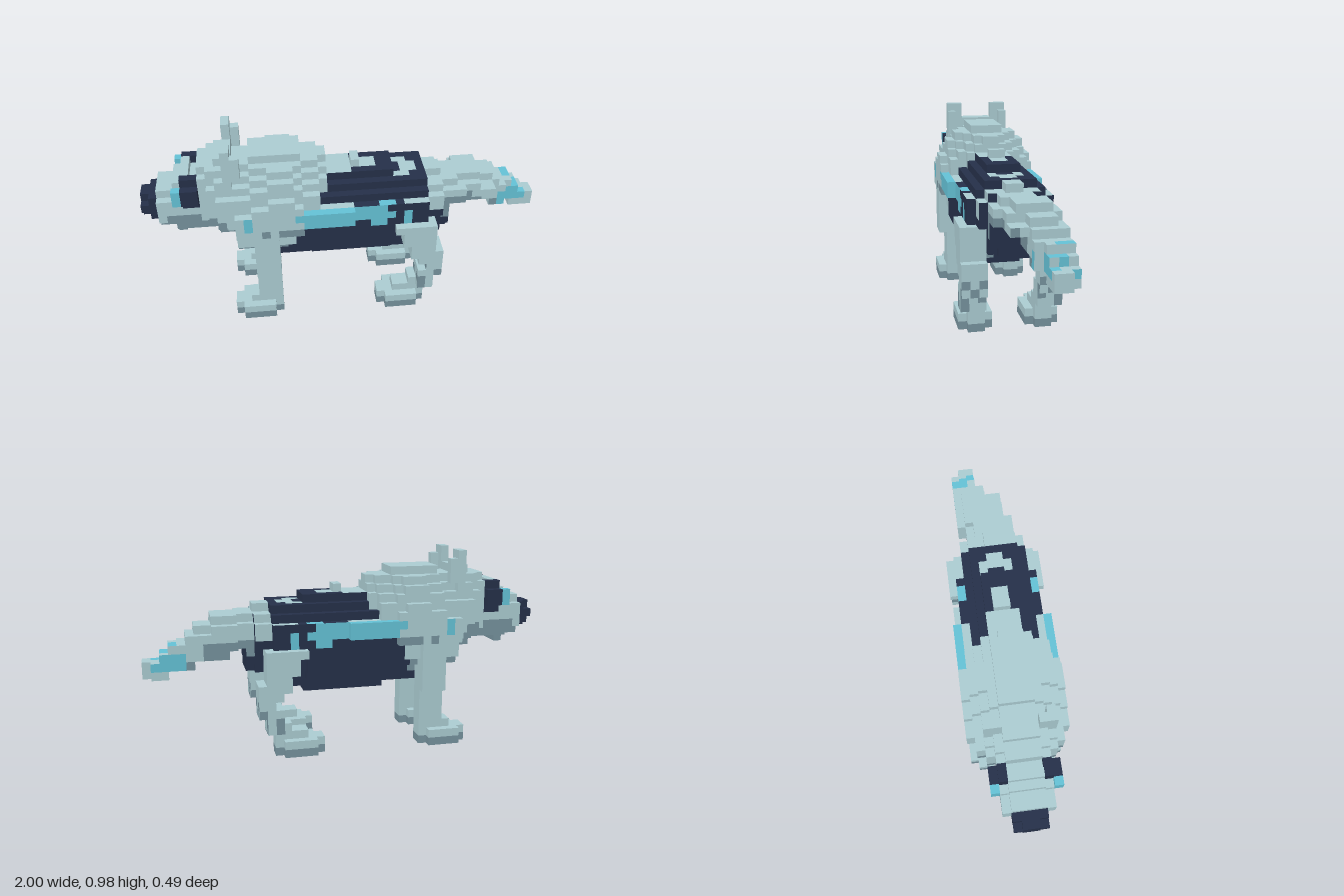
import * as THREE from 'three';

const U = 2 / 49; // size of one cube
const COLORS = { paleGrey: 0xabccd2, shadeGrey: 0x76929d, navy: 0x253049, teal: 0x64c2d6 };

export function createModel() {
  const cells = new Map();
  const key = (i, j, c) => `${i},${j},${c}`;
  const eachCell = (i0, i1, j0, j1, c0, c1, fn) => {
    for (let i = i0; i < i1; i++)
      for (let j = j0; j < j1; j++)
        for (let c = c0; c < c1; c++) fn(i, j, c);
  };
  // Fill a block of cubes; the Both helpers repeat it on the other side
  const fill = (part, color, i0, i1, j0, j1, c0, c1) =>
    eachCell(i0, i1, j0, j1, c0, c1, (i, j, c) =>
      cells.set(key(i, j, c), { i, j, c, part, colors: { x: color, y: color, z: color } }));
  const fillBoth = (part, color, i0, i1, j0, j1, k0, k1) => {
    fill(part + 'Front', color, i0, i1, j0, j1, k0, k1);
    fill(part + 'Back', color, i0, i1, j0, j1, -k1, -k0);
  };
  // Recolour cubes, or only their faces along the named axes
  const paint = (color, i0, i1, j0, j1, c0, c1, axes = 'xyz') =>
    eachCell(i0, i1, j0, j1, c0, c1, (i, j, c) => {
      const cell = cells.get(key(i, j, c));
      if (cell) for (const axis of axes) cell.colors[axis] = color;
    });
  const paintBoth = (color, i0, i1, j0, j1, k0, k1, axes) => {
    paint(color, i0, i1, j0, j1, k0, k1, axes);
    paint(color, i0, i1, j0, j1, -k1, -k0, axes);
  };
  // Symmetric cross-sections: top and bottom heights per layer out from the middle
  const loft = (part, color, sections) => {
    for (const [i0, i1, tops, bottoms] of sections)
      tops.forEach((top, k) => {
        fill(part, color, i0, i1, bottoms[k], top, k, k + 1);
        fill(part, color, i0, i1, bottoms[k], top, -k - 1, -k);
      });
  };

  // Trunk
  loft('body', 'navy', [
    [16, 18, [19, 19, 18, 17, 16], [8, 8, 8, 10, 11]],
    [18, 20, [19, 19, 18, 17, 16], [8, 8, 8, 9, 10]],
    [20, 30, [19, 19, 18, 17, 16], [7, 7, 8, 9, 10]],
    [30, 32, [18, 18, 18, 17, 16], [8, 8, 8, 10, 12]],
    [32, 34, [18, 18, 18, 17, 16], [9, 9, 9, 10, 12]],
    [34, 36, [17, 17, 17, 16], [10, 10, 10, 13]],
    [36, 37, [16, 16, 15], [10, 10, 11]],
  ]);
  paintBoth('paleGrey', 16, 18, 11, 14, 3, 5);
  paintBoth('shadeGrey', 16, 17, 9, 11, 2, 5);
  paint('shadeGrey', 31, 34, 9, 10, 2, 3, 'x');
  paint('shadeGrey', 31, 34, 9, 10, -3, -1, 'x');
  paintBoth('paleGrey', 34, 36, 14, 18, 2, 4, 'yz');
  paintBoth('paleGrey', 31, 34, 15, 16, 4, 5, 'y');

  // Shoulders and mane
  loft('mane', 'paleGrey', [
    [11, 13, [21, 21, 20, 19, 18, 16], [10, 10, 10, 10, 11, 13]],
    [13, 15, [22, 22, 21, 20, 19, 17], [9, 9, 9, 10, 11, 13]],
    [15, 16, [22, 22, 21, 21, 20, 18], [9, 9, 9, 10, 11, 13]],
    [16, 18, [22, 22, 21, 21, 20, 18], [14, 14, 14, 14, 13, 13]],
    [18, 19, [22, 22, 21, 20, 19, 17], [14, 14, 14, 14, 13, 13]],
    [19, 21, [21, 21, 20, 19, 18, 16], [16, 16, 16, 16, 14, 14]],
    [21, 22, [21, 20, 19, 17, 16, 16], [16, 16, 16, 16, 14, 14]],
    [22, 25, [19, 19, 18, 17, 16, 16], [18, 18, 17, 16, 14, 14]],
  ]);
  // Head
  loft('nose', 'navy', [
    [0, 1, [17, 16], [14, 15]],
    [1, 2, [17, 17], [14, 14]],
  ]);
  loft('head', 'paleGrey', [
    [2, 4, [18, 18, 17], [13, 13, 14]],
    [4, 5, [19, 19, 18, 19], [12, 12, 13, 17]],
    [5, 6, [20, 20, 20, 19], [13, 13, 13, 17]],
    [6, 7, [19, 19, 20, 19], [13, 13, 13, 17]],
    [7, 8, [21, 21, 20], [13, 13, 13]],
    [8, 9, [21, 21, 21, 19], [13, 13, 13, 14]],
    [9, 11, [22, 22, 21, 20, 18], [12, 12, 12, 13, 14]],
  ]);
  fillBoth('ear', 'paleGrey', 10, 11, 20, 24, 2, 4);
  fillBoth('ear', 'paleGrey', 11, 12, 20, 23, 3, 4);
  paintBoth('navy', 5, 7, 16, 20, 2, 4); // eye patches
  paintBoth('teal', 4, 5, 17, 19, 3, 4); // eyes
  paintBoth('shadeGrey', 2, 9, 13, 14, 0, 4); // lower jaw
  paintBoth('shadeGrey', 3, 7, 14, 15, 0, 3);
  paintBoth('shadeGrey', 4, 11, 12, 13, 0, 5);
  paintBoth('shadeGrey', 8, 10, 13, 15, 3, 5);
  paintBoth('shadeGrey', 11, 13, 10, 11, 0, 5); // under the chest

  // Back markings and crest
  paintBoth('paleGrey', 22, 28, 18, 19, 0, 1, 'y');
  paintBoth('paleGrey', 22, 25, 18, 19, 1, 2, 'y');
  paintBoth('navy', 22, 25, 18, 19, 1, 2, 'xz');
  paintBoth('navy', 22, 25, 17, 18, 2, 3);
  paintBoth('navy', 21, 25, 16, 17, 3, 4);
  paintBoth('paleGrey', 31, 33, 17, 18, 0, 1, 'y');
  paintBoth('paleGrey', 30, 32, 17, 18, 1, 2, 'y');
  fill('crest', 'paleGrey', 25, 26, 19, 20, -1, 1);

  // Tail, swinging to one side: i range, j range, c range
  const tail = [
    [34, 38, 14, 16, -3, 3], [34, 38, 13, 14, -3, 1], [34, 38, 16, 17, -2, 2],
    [34, 36, 17, 18, -1, 1],
    [38, 41, 14, 16, -4, 2], [38, 39, 14, 16, 2, 3], [38, 41, 16, 17, -3, 1],
    [38, 39, 13, 14, -4, 0], [39, 43, 12, 14, -4, 0],
    [41, 43, 14, 15, -4, 2], [41, 43, 15, 16, -3, 0],
    [43, 44, 11, 15, -4, 0], [44, 45, 11, 14, -4, 0],
    [45, 46, 11, 14, -4, -1], [46, 47, 10, 13, -4, -1],
    [47, 48, 10, 12, -4, -1], [48, 49, 10, 12, -3, -1],
  ];
  tail.forEach((t) => fill('tail', 'paleGrey', ...t));
  paint('shadeGrey', 36, 42, 12, 14, -4, 3, 'yz');
  paint('shadeGrey', 34, 43, 14, 15, 1, 3, 'x');
  paint('shadeGrey', 36, 40, 14, 15, 1, 3, 'z');
  paint('shadeGrey', 42, 45, 11, 12, -4, 2, 'yz');
  paint('teal', 44, 46, 11, 13, -4, 0, 'z');
  paint('teal', 46, 48, 11, 13, -4, -1, 'z');
  paint('teal', 45, 46, 13, 14, -4, -2, 'y');
  paint('teal', 46, 47, 12, 13, -3, -1, 'y');
  paint('teal', 47, 48, 11, 12, -2, -1, 'y');
  paint('teal', 44, 48, 12, 13, -3, -2, 'x');
  paint('teal', 44, 48, 11, 12, -4, -3, 'x');

  // Front legs
  fillBoth('frontLeg', 'paleGrey', 13, 16, 2, 14, 3, 5);
  fillBoth('frontLeg', 'paleGrey', 13, 16, 7, 14, 5, 6);
  // Hind legs
  for (const [i0, i1, j0, j1, k1] of [
    [30, 35, 12, 13, 6], [31, 35, 10, 12, 6], [32, 35, 8, 10, 6], [33, 36, 7, 9, 6],
    [34, 36, 5, 7, 6], [33, 35, 3, 6, 6], [32, 34, 2, 4, 5],
  ]) fillBoth('hindLeg', 'paleGrey', i0, i1, j0, j1, 3, k1);
  for (const k of [3, 5]) { // hocks
    paintBoth('shadeGrey', 34, 36, 6, 7, k, k + 1, 'x');
    paintBoth('shadeGrey', 33, 35, 4, 5, k, k + 1, 'xy');
  }
  paintBoth('shadeGrey', 34, 35, 3, 4, 5, 6, 'x');
  paintBoth('shadeGrey', 35, 36, 5, 6, 4, 5, 'x');
  paintBoth('shadeGrey', 35, 36, 5, 6, 3, 6, 'yz');
  paintBoth('shadeGrey', 33, 34, 3, 5, 5, 6, 'yz');

  // Feet with a longer middle toe
  for (const [name, i] of [['frontFoot', 10], ['hindFoot', 28]]) {
    fillBoth(name, 'paleGrey', i, i + 6, 0, 2, 3, 5);
    fillBoth(name, 'paleGrey', i + 1, i + 5, 0, 2, 2, 6);
    fillBoth(name, 'paleGrey', i + 2, i + 6, 2, 3, 3, 5);
    paintBoth('shadeGrey', i, i + 6, 0, 1, 2, 6);
  }

  // Teal flank stripe and spots
  paintBoth('teal', 19, 25, 14, 16, 5, 6);
  paintBoth('teal', 18, 19, 15, 16, 5, 6);
  paintBoth('teal', 25, 30, 14, 15, 4, 5);
  paintBoth('teal', 25, 29, 15, 16, 4, 5, 'z');
  paintBoth('teal', 28, 30, 15, 16, 4, 5, 'y');
  paintBoth('teal', 27, 29, 13, 14, 4, 5);
  paintBoth('teal', 31, 32, 13, 15, 4, 5);
  paintBoth('teal', 12, 13, 14, 16, 5, 6, 'z');
  paintBoth('shadeGrey', 14, 15, 13, 14, 5, 6);
  paintBoth('shadeGrey', 16, 19, 13, 14, 5, 6);

  // Turn the exposed cube faces into one mesh per part and colour
  const buckets = {};
  for (const cell of cells.values()) {
    const p = [cell.i, cell.j, cell.c];
    for (let a = 0; a < 3; a++)
      for (const s of [1, -1]) {
        const n = [0, 0, 0];
        n[a] = s;
        if (cells.has(key(p[0] + n[0], p[1] + n[1], p[2] + n[2]))) continue;
        const out = ((buckets[cell.part] ??= {})[cell.colors['xyz'[a]]] ??= { pos: [], nor: [] });
        const b = (a + 1) % 3, d = (a + 2) % 3;
        for (const [u, v] of [[0, 0], [1, 0], [1, 1], [0, 0], [1, 1], [0, 1]]) {
          const q = [...p];
          q[a] += s > 0 ? 1 : 0;
          q[b] += s > 0 ? u : v;
          q[d] += s > 0 ? v : u;
          out.pos.push(q[0] * U - 1, q[1] * U, q[2] * U);
          out.nor.push(...n);
        }
      }
  }
  const materials = {};
  for (const [name, color] of Object.entries(COLORS))
    materials[name] = Object.assign(new THREE.MeshStandardMaterial({ color }), { name });
  const model = new THREE.Group();
  model.name = 'wolf';
  for (const [part, byColor] of Object.entries(buckets)) {
    const group = new THREE.Group();
    group.name = part;
    for (const [color, { pos, nor }] of Object.entries(byColor)) {
      const geo = new THREE.BufferGeometry();
      geo.setAttribute('position', new THREE.Float32BufferAttribute(pos, 3));
      geo.setAttribute('normal', new THREE.Float32BufferAttribute(nor, 3));
      const mesh = new THREE.Mesh(geo, materials[color]);
      mesh.name = `${part} ${color}`;
      group.add(mesh);
    }
    model.add(group);
  }
  return model;
}
